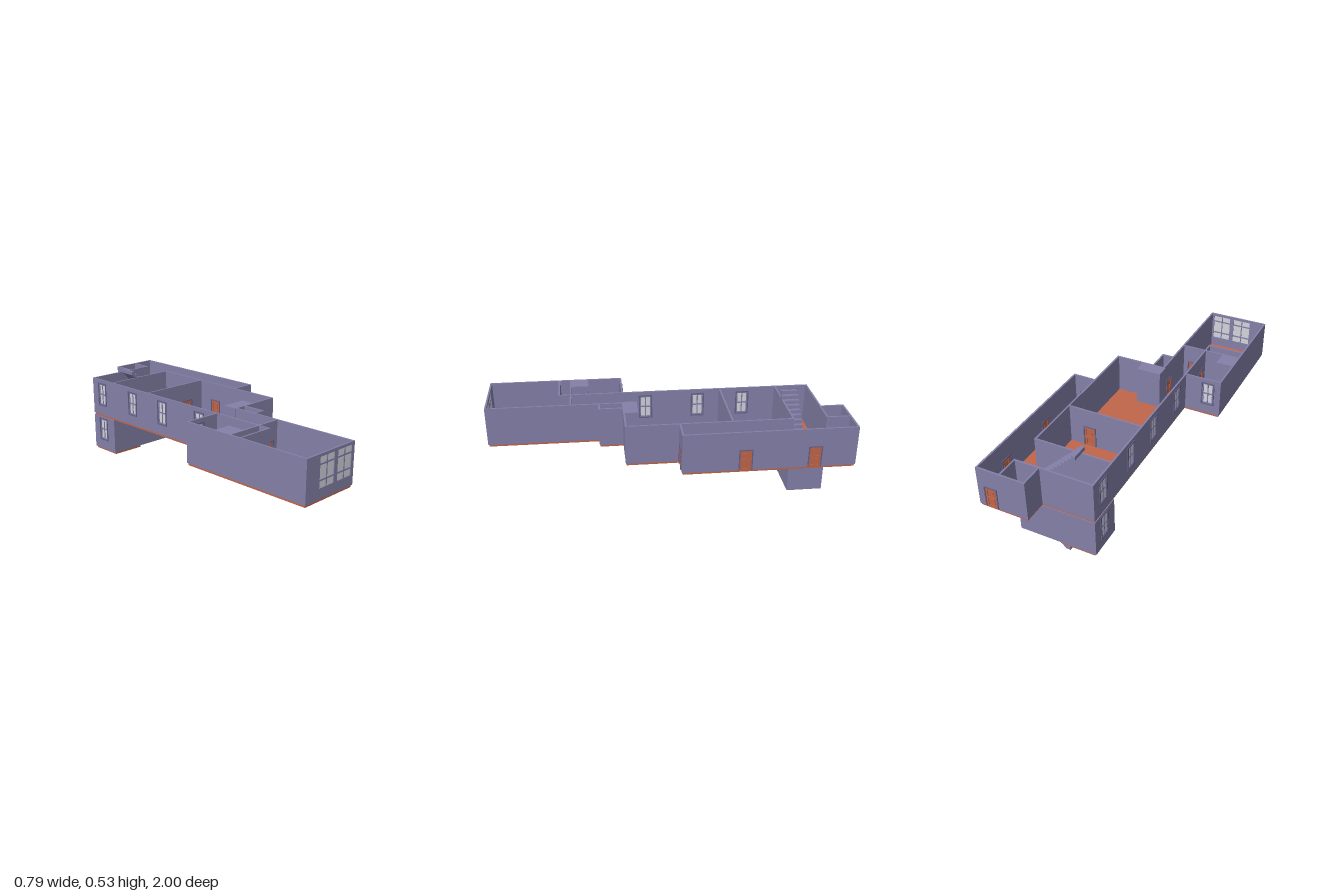
import * as THREE from 'three';

const wallMat = new THREE.MeshStandardMaterial({ color: 0x8480a8 });
const floorMat = new THREE.MeshStandardMaterial({ color: 0xc0664a });
const trimMat = new THREE.MeshStandardMaterial({ color: 0x66638c });
const glassMat = new THREE.MeshStandardMaterial({ color: 0xd2d4dc });

const T = 0.01;                        // wall thickness
const UP = { y: 0.265, h: 0.225 };     // upper storey
const LOW = { y: 0.04, h: 0.213 };     // lower storey
const DOOR = { w: 0.063, h: 0.117 };
const SLIM = { w: 0.064, h: 0.131, y: 0.066 };
const WIDE = { w: 0.108, h: 0.155, y: 0.055 };

function mesh(name, geometry, material, x = 0, y = 0, z = 0) {
  const m = new THREE.Mesh(geometry, material);
  m.name = name;
  m.position.set(x, y, z);
  return m;
}

function box(name, w, h, d, material, x = 0, y = 0, z = 0) {
  return mesh(name, new THREE.BoxGeometry(w, h, d), material, x, y, z);
}

const polygon = (pts) => new THREE.Shape(pts.map(([x, y]) => new THREE.Vector2(x, y)));
const rect = (x0, y0, x1, y1) => [[x0, y0], [x1, y0], [x1, y1], [x0, y1]];

// Plate of given depth, centred on its thickness
function plate(name, pts, holes, depth, material) {
  const shape = polygon(pts);
  shape.holes = holes.map(polygon);
  const g = new THREE.ExtrudeGeometry(shape, { depth, bevelEnabled: false });
  g.translate(0, 0, -depth / 2);
  return mesh(name, g, material);
}

// Panelled door with its surround; origin at the middle of the threshold
function makeDoor() {
  const g = new THREE.Group();
  g.name = 'door';
  const a = DOOR.w / 2, h = DOOR.h, e = 0.006;
  g.add(plate('doorFrame', [[-a - e, 0], [-a, 0], [-a, h], [a, h], [a, 0], [a + e, 0],
    [a + e, h + e], [-a - e, h + e]], [], 0.018, trimMat));
  const panels = [[0.01, 0.054], [0.063, 0.107]];
  g.add(plate('doorLeaf', rect(-a, 0, a, h),
    panels.map(([y0, y1]) => rect(-0.021, y0, 0.021, y1)), 0.011, floorMat));
  for (const [y0, y1] of panels) {
    g.add(box('doorPanel', 0.042, y1 - y0, 0.004, floorMat, 0, (y0 + y1) / 2));
    g.add(box('raisedPanel', 0.03, y1 - y0 - 0.012, 0.008, floorMat, 0, (y0 + y1) / 2));
  }
  return g;
}

// Glazed window; origin at the middle of the sill
function makeWindow({ w, h }, framed) {
  const g = new THREE.Group();
  g.name = 'window';
  const a = w / 2, e = 0.007;
  g.add(box('glass', w, h, 0.002, glassMat, 0, h / 2));
  g.add(box('mullion', 0.006, h, 0.008, wallMat, 0, h / 2));
  const bars = framed ? [0.5] : [0.25, 0.76];
  for (const t of bars) g.add(box('glazingBar', w, 0.008, 0.008, wallMat, 0, h * t));
  if (framed) {
    g.add(plate('windowFrame', rect(-a - e, -e, a + e, h + e), [rect(-a, 0, a, h)], 0.018, trimMat));
    g.add(plate('sash', rect(-a, 0, a, h), [rect(-a + 0.006, 0.006, a - 0.006, h - 0.006)], 0.01, wallMat));
  }
  return g;
}

// Straight wall along x or z. doors and windows are given by their coordinate along it.
function makeWall(name, x0, z0, x1, z1, { doors = [], windows = [], size = SLIM, level = UP } = {}) {
  const g = new THREE.Group();
  g.name = name;
  const alongZ = z1 > z0;
  const start = alongZ ? z0 : x0;
  const L = alongZ ? z1 - z0 : x1 - x0;
  const outline = [[-T / 2, 0]];
  for (const d of [...doors].sort((p, q) => p - q)) {
    const u = d - start, a = DOOR.w / 2;
    outline.push([u - a, 0], [u - a, DOOR.h], [u + a, DOOR.h], [u + a, 0]);
    const door = makeDoor();
    door.position.x = u;
    g.add(door);
  }
  outline.push([L + T / 2, 0], [L + T / 2, level.h], [-T / 2, level.h]);
  const holes = windows.map((c) => {
    const u = c - start;
    const win = makeWindow(size, size === SLIM);
    win.position.set(u, size.y, 0);
    g.add(win);
    return rect(u - size.w / 2, size.y, u + size.w / 2, size.y + size.h);
  });
  g.add(plate('wallPanel', outline, holes, T, wallMat));
  g.position.set(x0, level.y, z0);
  if (alongZ) g.rotation.y = -Math.PI / 2;
  return g;
}

// Floor slab from an outline in x, z
function makeFloor(name, pts, holes, top) {
  const m = plate(name, pts, holes, 0.012, floorMat);
  m.rotation.x = Math.PI / 2;
  m.position.y = top - 0.006;
  return m;
}

// Flight of steps with a sloping underside; (x, y) is the low end, dir the way it climbs
function makeStairs(name, x, y, dir, steps, rise, z) {
  const run = 0.0212, pts = [];
  for (let i = 0; i < steps; i++) {
    pts.push([x + dir * i * run, y + (i + 1) * rise], [x + dir * (i + 1) * run, y + (i + 1) * rise]);
  }
  const endX = x + dir * steps * run;
  pts.push([endX, y + (steps - 1) * rise], [x + dir * run * 1.1, y], [x, y]);
  const m = plate(name, pts, [], 0.095, wallMat);
  m.position.z = z;
  return m;
}

export function createModel() {
  const model = new THREE.Group();
  model.name = 'house';
  // Wall lines
  const xa = -0.39, xb = -0.179, xc = -0.039, xd = 0.027, xe = 0.255, xf = 0.386, xk = 0.116;
  const front = 0.995, back = -0.987, stairBack = -0.858, stairFront = -0.67;
  const hallEnd = -0.055, roomEnd = 0.234, closetEnd = 0.368, sideBack = 0.229;

  // Upper floor with stairwell, and the lower landing
  model.add(makeFloor('upperFloor', [[xa, front], [xc, front], [xc, closetEnd], [xd, closetEnd],
    [xd, roomEnd], [xe, roomEnd], [xe, hallEnd], [xf, hallEnd], [xf, back], [xk, back],
    [xk, stairBack], [xb, stairBack], [xb, sideBack], [xa, sideBack]],
  [rect(0, stairBack + 0.005, 0.243, stairFront - 0.005)], UP.y));
  model.add(makeFloor('lowerFloor', rect(-0.175, stairBack, 0.025, stairFront), [], LOW.y));

  // Outer walls of the upper storey
  model.add(
    makeWall('frontWall', xa, front, xc, front, { windows: [-0.2425, -0.109], size: WIDE }),
    makeWall('sideRoomOuterWall', xa, sideBack, xa, front),
    makeWall('sideRoomBackWall', xa, sideBack, xb, sideBack, { windows: [-0.32] }),
    makeWall('longWall', xb, stairBack, xb, 0.592, { windows: [-0.77, -0.475, -0.21, 0.095], doors: [0.455] }),
    makeWall('livingRoomWall', xc, roomEnd, xc, front, { doors: [0.3] }),
    makeWall('closetFrontWall', xc, closetEnd, xd, closetEnd),
    makeWall('closetSideWall', xd, roomEnd, xd, closetEnd),
    makeWall('mainRoomFrontWall', xc, roomEnd, xe, roomEnd),
    makeWall('hallFrontWall', xe, hallEnd, xf, hallEnd, { doors: [0.316] }),
    makeWall('hallOuterWall', xf, back, xf, hallEnd, { doors: [-0.765, -0.39] }),
    makeWall('backWall', xk, back, xf, back, { doors: [0.316] }),
    makeWall('backClosetWall', xk, back, xk, stairBack),
    makeWall('stairBackWall', xb, stairBack, xe, stairBack),
  );

  // Partitions
  model.add(
    makeWall('livingPartition', xa, 0.525, xc, 0.525, { doors: [-0.11] }),
    makeWall('closetPartition', xa, 0.592, xb, 0.592),
    makeWall('hallPartition', xe, stairFront, xe, roomEnd, { doors: [-0.21] }),
    makeWall('backClosetPartition', xe, back, xe, stairBack, { doors: [-0.925] }),
    makeWall('middlePartition', xb, -0.34, xe, -0.34, { doors: [0.13] }),
    makeWall('stairPartition', xb, stairFront, xe, stairFront),
  );

  // Solid built-in blocks
  const blockY = UP.y + UP.h / 2;
  model.add(box('mainRoomBlock', 0.145, UP.h, 0.08, wallMat, 0.0225, blockY, 0.195));
  model.add(box('sideRoomBlock', 0.095, UP.h, 0.1, wallMat, -0.3375, blockY, 0.472));

  // Lower storey around the stairs
  model.add(
    makeWall('lowerBackWall', xb, stairBack, xe, stairBack, { level: LOW }),
    makeWall('lowerFrontWall', xb, stairFront, xe, stairFront, { level: LOW }),
    makeWall('lowerEndWall', xe, stairBack, xe, stairFront, { level: LOW }),
    makeWall('lowerWindowWall', xb, stairBack, xb, stairFront, { level: LOW, windows: [-0.77] }),
  );

  // Flights going up and down from the hall
  model.add(makeStairs('upperStairs', 0.247, UP.y, -1, 13, 0.0206, -0.713));
  model.add(makeStairs('lowerStairs', -0.029, 0, 1, 13, 0.0204, -0.808));
  return model;
}
